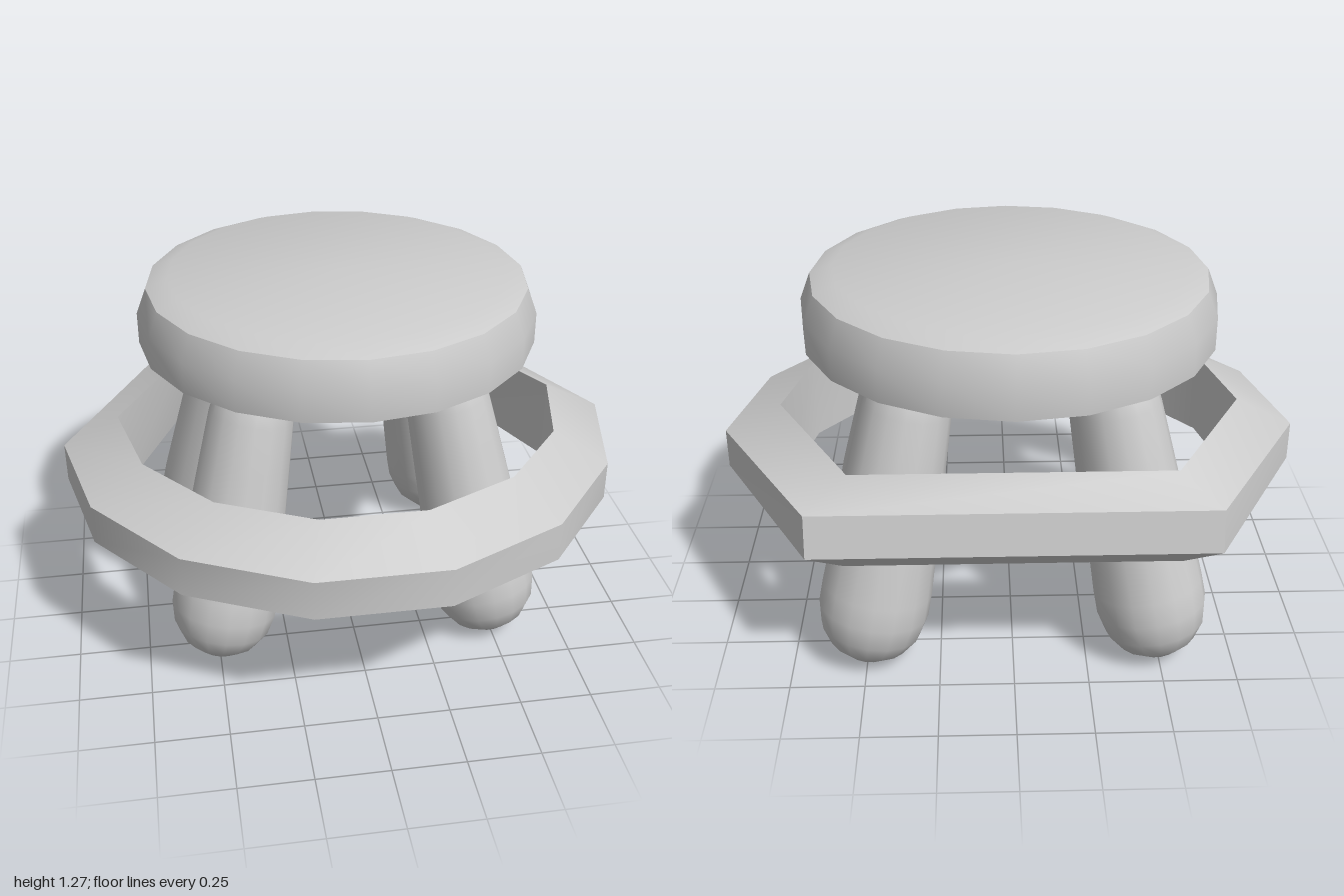
import * as THREE from 'three';
import { toCreasedNormals } from 'three/addons/utils/BufferGeometryUtils.js';

const CENTER_Z = -0.14;
const material = new THREE.MeshStandardMaterial({ color: 0xcccccc });

function addMesh(parent, name, geometry) {
  const mesh = new THREE.Mesh(geometry, material);
  mesh.name = name;
  parent.add(mesh);
  return mesh;
}

function lathe(points, sides) {
  return new THREE.LatheGeometry(points.map(([r, y]) => new THREE.Vector2(r, y)), sides);
}

// Closed ring through four-cornered sections: outer low, outer high, inner high, inner low
function ringGeometry() {
  const sections = [];
  for (let i = 0; i <= 7; i++) {
    const a = (i * Math.PI) / 7;
    const at = (r, y) => [r * Math.cos(a), y, CENTER_Z + r * Math.sin(a)];
    sections.push([at(1, 0.51), at(1, 0.65), at(0.8, 0.75), at(0.8, 0.45)]);
  }
  // The back is cut off by one straight bar that leans slightly
  for (const s of [-1, 1]) {
    sections.push([
      [s * 0.66, 0.53, -0.78], [s * 0.66, 0.67, -0.75],
      [s * 0.53, 0.75, -0.635], [s * 0.55, 0.45, -0.7],
    ]);
  }
  const n = sections.length, index = [];
  for (let i = 0; i < n; i++) {
    for (let k = 0; k < 4; k++) {
      const a = i * 4 + k, b = i * 4 + ((k + 1) % 4);
      const c = ((i + 1) % n) * 4 + k, d = ((i + 1) % n) * 4 + ((k + 1) % 4);
      index.push(a, b, c, b, d, c);
    }
  }
  const geometry = new THREE.BufferGeometry();
  geometry.setAttribute('position', new THREE.Float32BufferAttribute(sections.flat(2), 3));
  geometry.setIndex(index);
  return toCreasedNormals(geometry, 0.6);
}

export function createModel() {
  const model = new THREE.Group();
  model.name = 'stool';

  // Round seat with a softened upper rim
  const seat = lathe([[0, 1.04], [0.7, 1.04], [0.7, 1.15], [0.665, 1.24], [0.59, 1.27], [0, 1.27]], 20);
  addMesh(model, 'seat', toCreasedNormals(seat, 0.6)).position.z = CENTER_Z;

  // Foot ring around the legs
  addMesh(model, 'footRing', ringGeometry());

  // Four splayed, tapered legs with rounded ends
  const profile = [
    [0, -0.185], [0.07, -0.175], [0.13, -0.135], [0.17, -0.075], [0.187, 0], [0.186, 0.08],
    [0.176, 0.25], [0.157, 0.56], [0.147, 0.72], [0.133, 0.81], [0.1, 0.88], [0.05, 0.91], [0, 0.915],
  ];
  const legGeometry = lathe(profile, 16);
  const up = new THREE.Vector3(0, 1, 0);
  for (const sx of [-1, 1]) {
    for (const sz of [-1, 1]) {
      const foot = new THREE.Vector3(sx * 0.473, 0.187, CENTER_Z + sz * 0.42);
      const top = new THREE.Vector3(sx * 0.308, 1.06, CENTER_Z + sz * 0.275);
      const name = (sz > 0 ? 'front' : 'back') + (sx > 0 ? 'Left' : 'Right') + 'Leg';
      const leg = addMesh(model, name, legGeometry);
      leg.position.copy(foot);
      leg.quaternion.setFromUnitVectors(up, top.sub(foot).normalize());
    }
  }
  return model;
}
